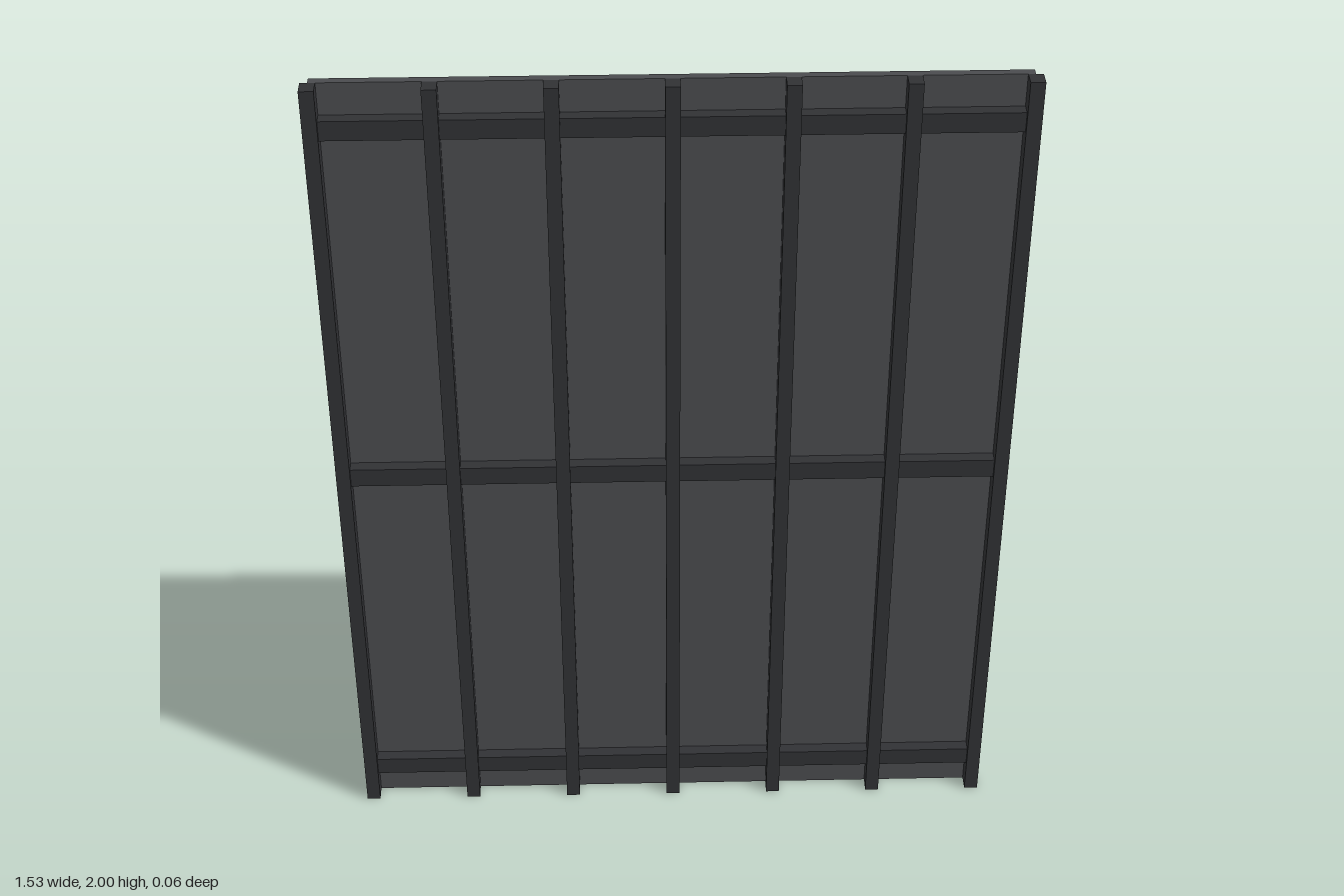
import * as THREE from 'three';

export function createModel() {
  const group = new THREE.Group();
  const panelMat = new THREE.MeshStandardMaterial({ color: 0x4a4b4e });
  const barMat = new THREE.MeshStandardMaterial({ color: 0x303134 });

  // Box given by its centre x/y, size w/h and depth range z0..z1
  function box(name, mat, x, y, w, h, z0, z1) {
    const mesh = new THREE.Mesh(new THREE.BoxGeometry(w, h, z1 - z0), mat);
    mesh.position.set(x, y, (z0 + z1) / 2);
    mesh.name = name;
    group.add(mesh);
  }

  // Flat backing sheet
  box('panel', panelMat, 0, 1, 1.5, 2, -0.028, -0.009);

  // Seven full-height bars, the outer two overhanging the sheet
  for (let i = -3; i <= 3; i++) {
    box('verticalBar', barMat, i * 0.25, 1, 0.032, 2, -0.009, 0.028);
  }

  // Three cross rails, set slightly behind the bar faces
  for (const y of [0.102, 1.002, 1.902]) {
    box('crossRail', barMat, 0, y, 1.48, 0.046, -0.009, 0.019);
  }

  return group;
}
